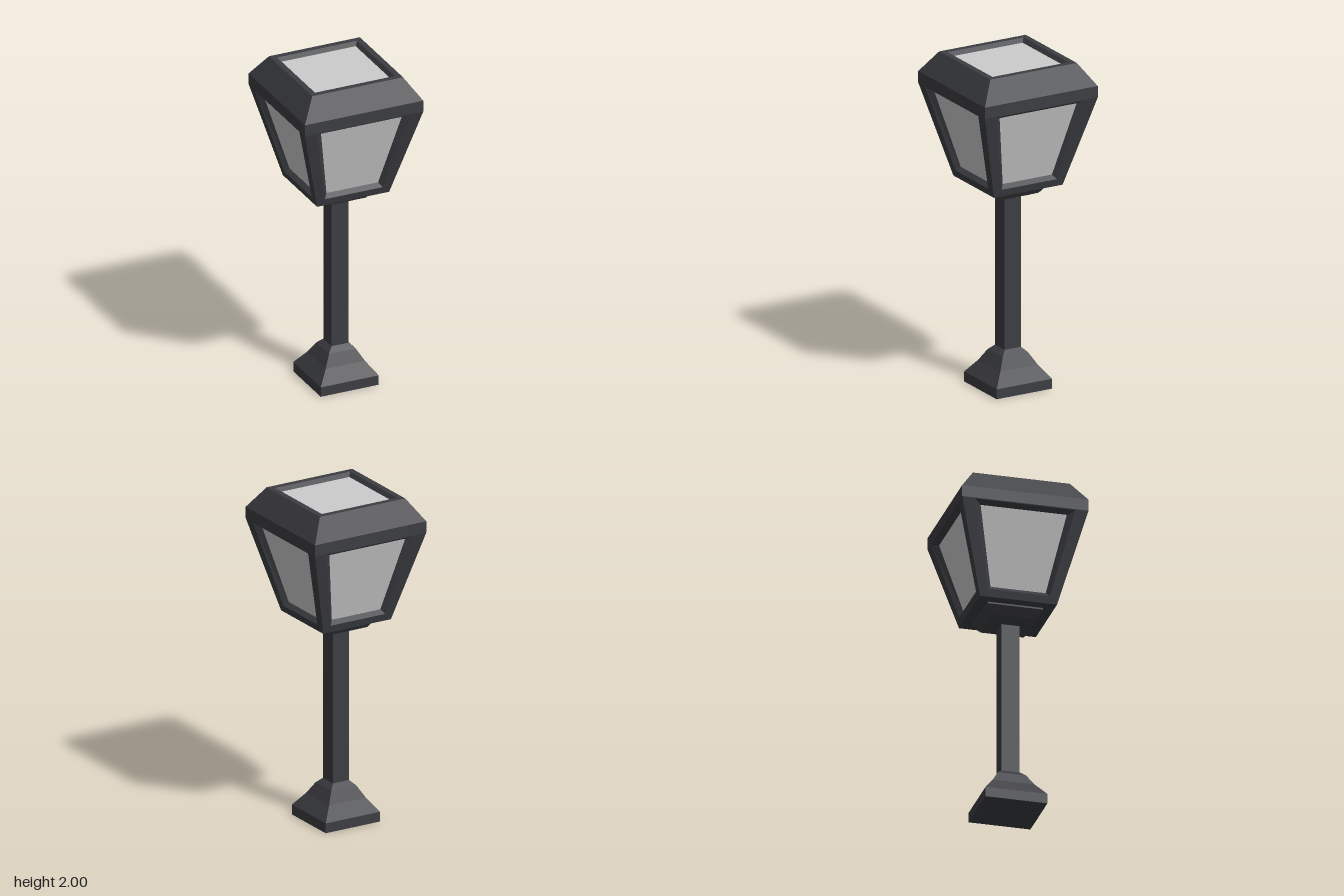
import * as THREE from 'three';

const metal = new THREE.MeshStandardMaterial({ color: 0x3c3d42, flatShading: true });
const glass = new THREE.MeshStandardMaterial({ color: 0xcccccc, side: THREE.DoubleSide });

// Square ring of half-width h at height y, counter-clockwise from above
const square = ([h, y]) => [[-h, y, h], [h, y, h], [h, y, -h], [-h, y, -h]];

// Skin between successive four-cornered rings, with optional end caps
function loft(name, rings, material, capStart = false, capEnd = false) {
  const pos = [];
  const quad = (a, b, c, d) => pos.push(...a, ...b, ...c, ...a, ...c, ...d);
  for (let i = 0; i < rings.length - 1; i++) {
    for (let j = 0; j < 4; j++) {
      const k = (j + 1) % 4;
      quad(rings[i][j], rings[i][k], rings[i + 1][k], rings[i + 1][j]);
    }
  }
  if (capStart) quad(...[...rings[0]].reverse());
  if (capEnd) quad(...rings[rings.length - 1]);
  const geometry = new THREE.BufferGeometry();
  geometry.setAttribute('position', new THREE.Float32BufferAttribute(pos, 3));
  geometry.computeVertexNormals();
  const mesh = new THREE.Mesh(geometry, material);
  mesh.name = name;
  return mesh;
}

// Trapezoid lying on the sloped lantern wall, set back by the given depth
function wallRing(bottomHalf, bottomY, topHalf, topY, depth) {
  const z = (y) => 0.23 + (y - 1.25) * (0.148 / 0.55) - depth;
  return [
    [-bottomHalf, bottomY, z(bottomY)], [bottomHalf, bottomY, z(bottomY)],
    [topHalf, topY, z(topY)], [-topHalf, topY, z(topY)],
  ];
}

export function createModel() {
  const lamp = new THREE.Group();
  lamp.name = 'gardenLamp';

  // Flared foot and square post
  const foot = [[0.185, 0], [0.185, 0.06], [0.125, 0.14], [0.085, 0.21], [0.055, 0.24]];
  lamp.add(loft('foot', foot.map(square), metal, true, true));
  lamp.add(loft('post', [[0.055, 0.2], [0.055, 1.18]].map(square), metal));

  // Stepped collar and the lantern floor
  const collar = [[0.085, 1.17], [0.13, 1.19], [0.165, 1.24], [0.165, 1.25], [0.23, 1.25]];
  lamp.add(loft('collar', collar.map(square), metal, true));

  // Four sloping walls, each a bevelled frame around a pane
  for (let i = 0; i < 4; i++) {
    const wall = new THREE.Group();
    wall.name = 'lanternWall';
    const outer = wallRing(0.23, 1.25, 0.378, 1.8, 0);
    const opening = wallRing(0.185, 1.295, 0.3, 1.795, 0);
    const pane = wallRing(0.165, 1.32, 0.258, 1.775, 0.03);
    wall.add(loft('wallFrame', [outer, opening, pane], metal));
    wall.add(loft('wallPane', [pane], glass, false, true));
    wall.rotation.y = i * Math.PI / 2;
    lamp.add(wall);
  }

  // Bevelled roof with a recessed top pane
  const roof = [[0.378, 1.8], [0.378, 1.87], [0.29, 2], [0.255, 2], [0.24, 1.975]];
  lamp.add(loft('roof', roof.map(square), metal));
  lamp.add(loft('roofPane', [square([0.24, 1.975])], glass, false, true));

  return lamp;
}
